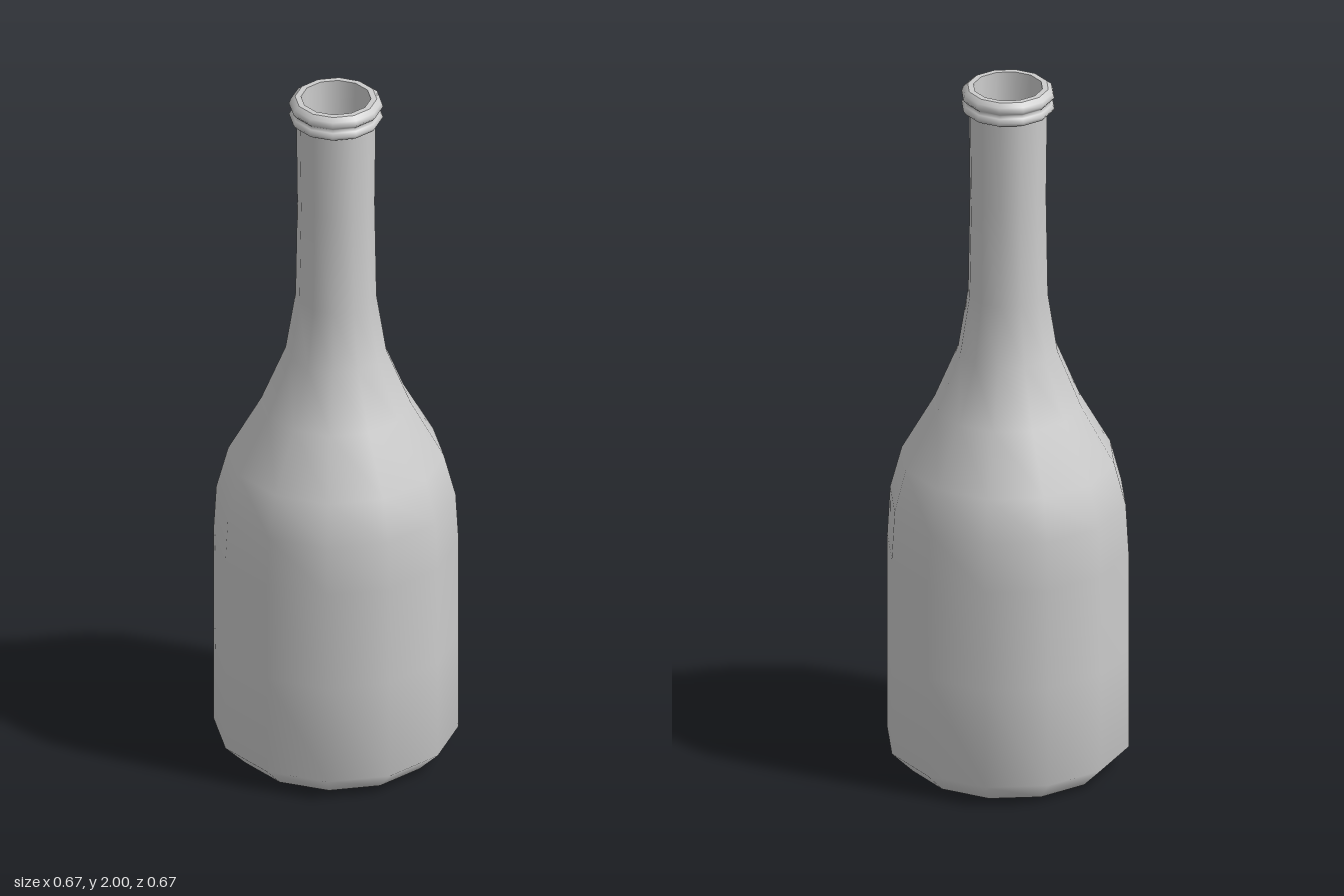
import * as THREE from 'three';

const SIDES = 12;

export function createModel() {
  const bottle = new THREE.Group();
  bottle.name = 'bottle';
  const material = new THREE.MeshStandardMaterial({ color: 0xcccccc });

  const add = (name, geometry) => {
    const mesh = new THREE.Mesh(geometry, material);
    mesh.name = name;
    bottle.add(mesh);
    return mesh;
  };
  // Turned part from [radius, height] pairs, listed upwards for outward faces
  const turn = (name, profile) =>
    add(name, new THREE.LatheGeometry(profile.map(([r, y]) => new THREE.Vector2(r, y)), SIDES));
  const disc = (name, radius, y, facing) => {
    const mesh = add(name, new THREE.CircleGeometry(radius, SIDES));
    mesh.rotation.x = -facing * Math.PI / 2;
    mesh.position.y = y;
  };

  // Chamfered body, sloping shoulder and slim neck
  turn('body', [
    [0.273, 0], [0.333, 0.06], [0.333, 0.35], [0.333, 0.64], [0.325, 0.78], [0.293, 0.9],
    [0.203, 1.06], [0.137, 1.22], [0.11, 1.39], [0.105, 1.68], [0.108, 1.935],
  ]);
  disc('base', 0.273, 0, -1);

  // Two-ringed lip
  turn('lip', [
    [0.107, 1.93], [0.121, 1.934], [0.128, 1.945], [0.121, 1.956], [0.114, 1.962],
    [0.121, 1.968], [0.128, 1.977], [0.124, 1.99], [0.111, 2],
  ]);
  turn('lipTop', [[0.111, 2], [0.095, 2]]);

  // Tapered bore inside the neck
  turn('bore', [[0.095, 2], [0.07, 1.4]]);
  disc('boreFloor', 0.07, 1.4, 1);

  return bottle;
}
